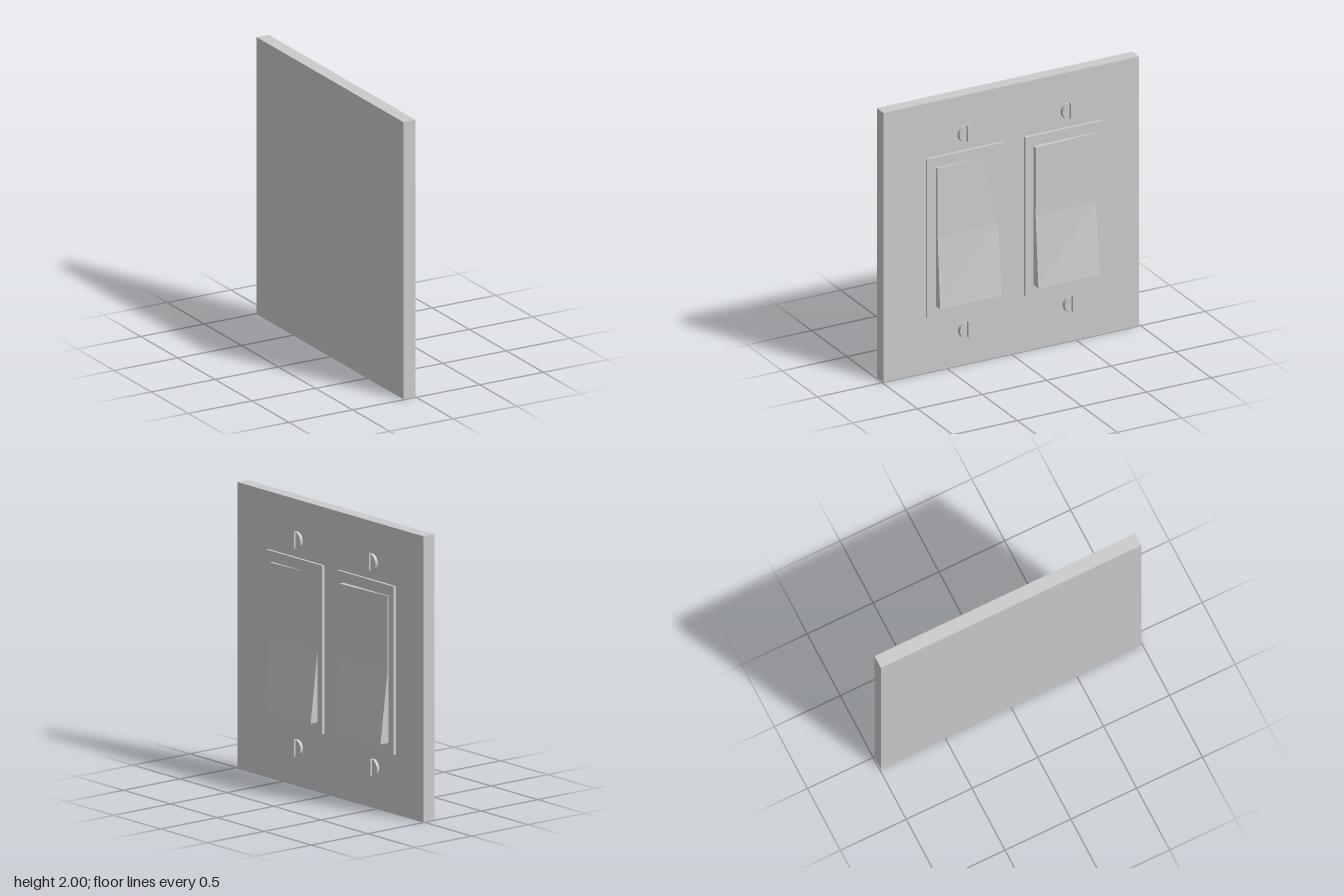
import * as THREE from 'three';

const material = new THREE.MeshStandardMaterial({ color: 0xcccccc });

function add(parent, name, geometry, x, y, z) {
  const mesh = new THREE.Mesh(geometry, material);
  mesh.name = name;
  mesh.position.set(x, y, z);
  parent.add(mesh);
  return mesh;
}

// Rocker paddle: a box whose front face is bent at mid height and slightly skewed.
// Each pair gives the front depth at the -z and +z edge.
function rockerGeometry(bottom, middle, top) {
  const h = 1.03, w = 0.48;
  const box = new THREE.BoxGeometry(1, h, w, 1, 2, 1);
  const p = box.attributes.position;
  for (let i = 0; i < p.count; i++) {
    const y = p.getY(i);
    const row = y < -0.1 ? bottom : y > 0.1 ? top : middle;
    p.setX(i, p.getX(i) > 0 ? row[p.getZ(i) > 0 ? 1 : 0] : 0);
  }
  const flat = box.toNonIndexed();
  flat.computeVertexNormals();
  return flat;
}

// Half of a slotted screw head, extruded out of the plate along +x
function screwHalfGeometry(side) {
  const r = 0.061, slot = 0.008, height = 0.022;
  const a = Math.acos(slot / r);
  const shape = new THREE.Shape();
  const mid = side > 0 ? 0 : Math.PI;
  shape.absarc(0, 0, r, mid - a, mid + a, false);
  shape.closePath();
  const geometry = new THREE.ExtrudeGeometry(shape, { depth: height, bevelEnabled: false, curveSegments: 20 });
  geometry.rotateY(Math.PI / 2);
  // The head on the +z side leans in a little
  if (side < 0) {
    const p = geometry.attributes.position;
    for (let i = 0; i < p.count; i++) {
      const rim = Math.max(0, (p.getZ(i) - slot) / r);
      if (p.getX(i) > 0.01) p.setZ(i, p.getZ(i) - 0.007 * rim);
    }
  }
  return geometry;
}

export function createModel() {
  const model = new THREE.Group();
  model.name = 'doubleLightSwitch';

  // Wall plate
  add(model, 'plate', new THREE.BoxGeometry(0.095, 2, 1.98), -0.0475, 1, 0);

  // Two switches, each a raised frame with a tilted rocker
  const switches = [
    { name: 'left', frameZ: 0.365, rockerZ: 0.355, bottom: [0.08, 0.08], middle: [0.019, 0.045], top: [0.014, 0.042] },
    { name: 'right', frameZ: -0.396, rockerZ: -0.4, bottom: [0.09, 0.09], middle: [0.027, 0.052], top: [0.029, 0.057] },
  ];
  for (const s of switches) {
    add(model, s.name + 'Frame', new THREE.BoxGeometry(0.02, 1.18, 0.595), 0.01, 1.005, s.frameZ);
    add(model, s.name + 'Rocker', rockerGeometry(s.bottom, s.middle, s.top), 0, 1.005, s.rockerZ);
  }

  // Slotted screws above and below each switch
  const halves = [screwHalfGeometry(1), screwHalfGeometry(-1)];
  for (const [y, z] of [[1.717, 0.357], [1.717, -0.442], [0.263, 0.353], [0.282, -0.458]]) {
    const screw = new THREE.Group();
    screw.name = 'screw';
    screw.position.set(0, y, z);
    halves.forEach((g) => add(screw, 'screwHeadHalf', g, 0, 0, 0));
    model.add(screw);
  }
  return model;
}
